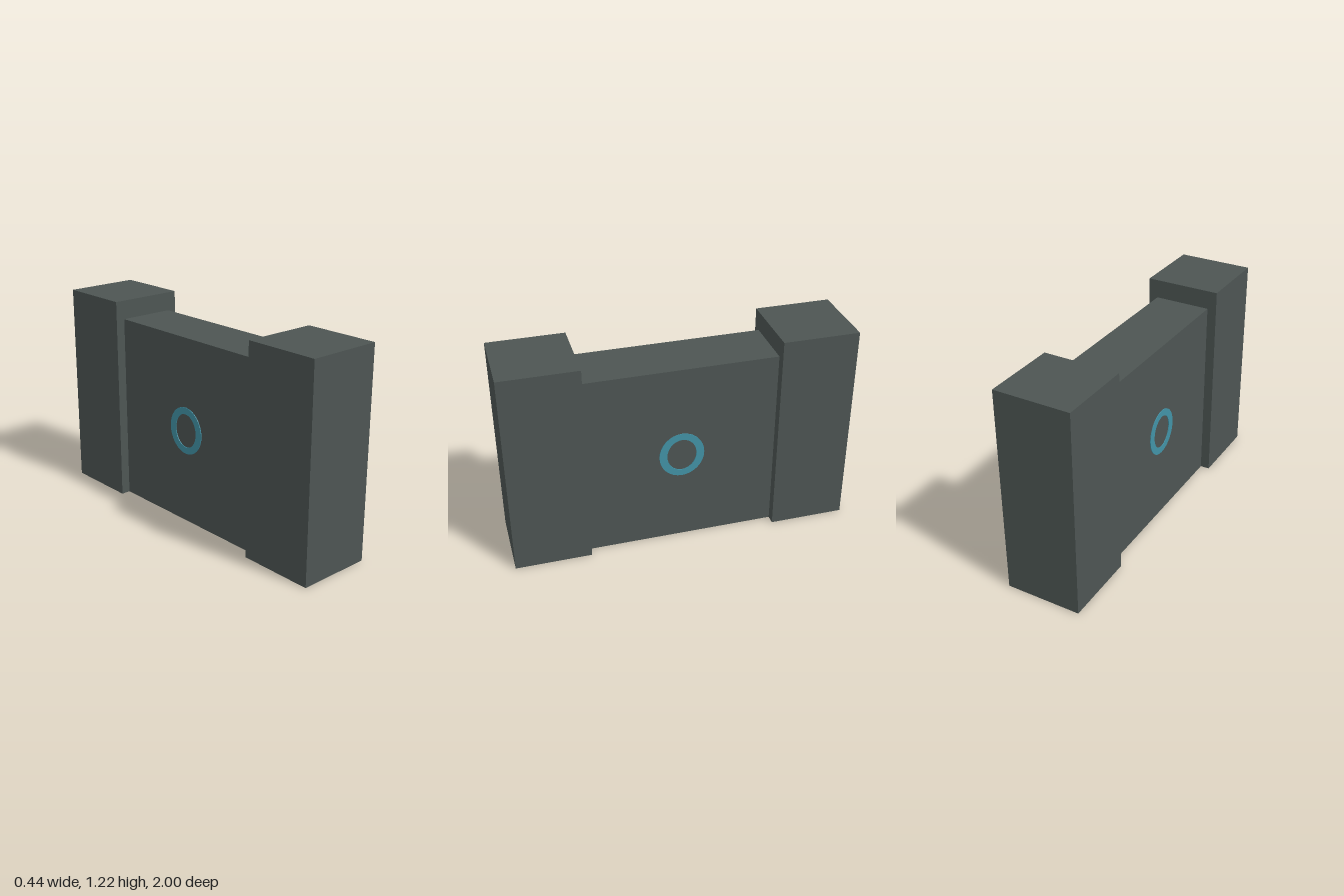
import * as THREE from 'three';

export function createModel() {
  const stone = new THREE.MeshStandardMaterial({ color: 0x4d5553 });
  stone.name = 'dark stone';
  const glow = new THREE.MeshStandardMaterial({ color: 0x4293a7 });
  glow.name = 'teal';

  const model = new THREE.Group();
  model.name = 'wallSection';

  const addBox = (name, w, h, d, z) => {
    const mesh = new THREE.Mesh(new THREE.BoxGeometry(w, h, d), stone);
    mesh.name = name;
    mesh.position.set(0, h / 2, z);
    model.add(mesh);
  };

  // Wall panel between two taller end pillars
  const wallWidth = 0.334;
  addBox('wallPanel', wallWidth, 1.112, 1.112, 0);
  addBox('frontPillar', 0.444, 1.223, 0.444, 0.778);
  addBox('backPillar', 0.444, 1.223, 0.444, -0.778);

  // Thin ring inlay on both broad faces
  const ring = new THREE.Shape().absellipse(0, 0, 0.132, 0.14, 0, Math.PI * 2, false);
  ring.holes.push(new THREE.Path().absellipse(0, 0, 0.086, 0.1, 0, Math.PI * 2, true));
  const ringGeometry = new THREE.ExtrudeGeometry(ring, {
    depth: 0.004, bevelEnabled: false, curveSegments: 16,
  });
  for (const side of [1, -1]) {
    const mesh = new THREE.Mesh(ringGeometry, glow);
    mesh.name = side > 0 ? 'leftRing' : 'rightRing';
    mesh.rotation.y = side * Math.PI / 2;
    mesh.position.set(side * wallWidth / 2, 0.565, 0);
    model.add(mesh);
  }
  return model;
}
